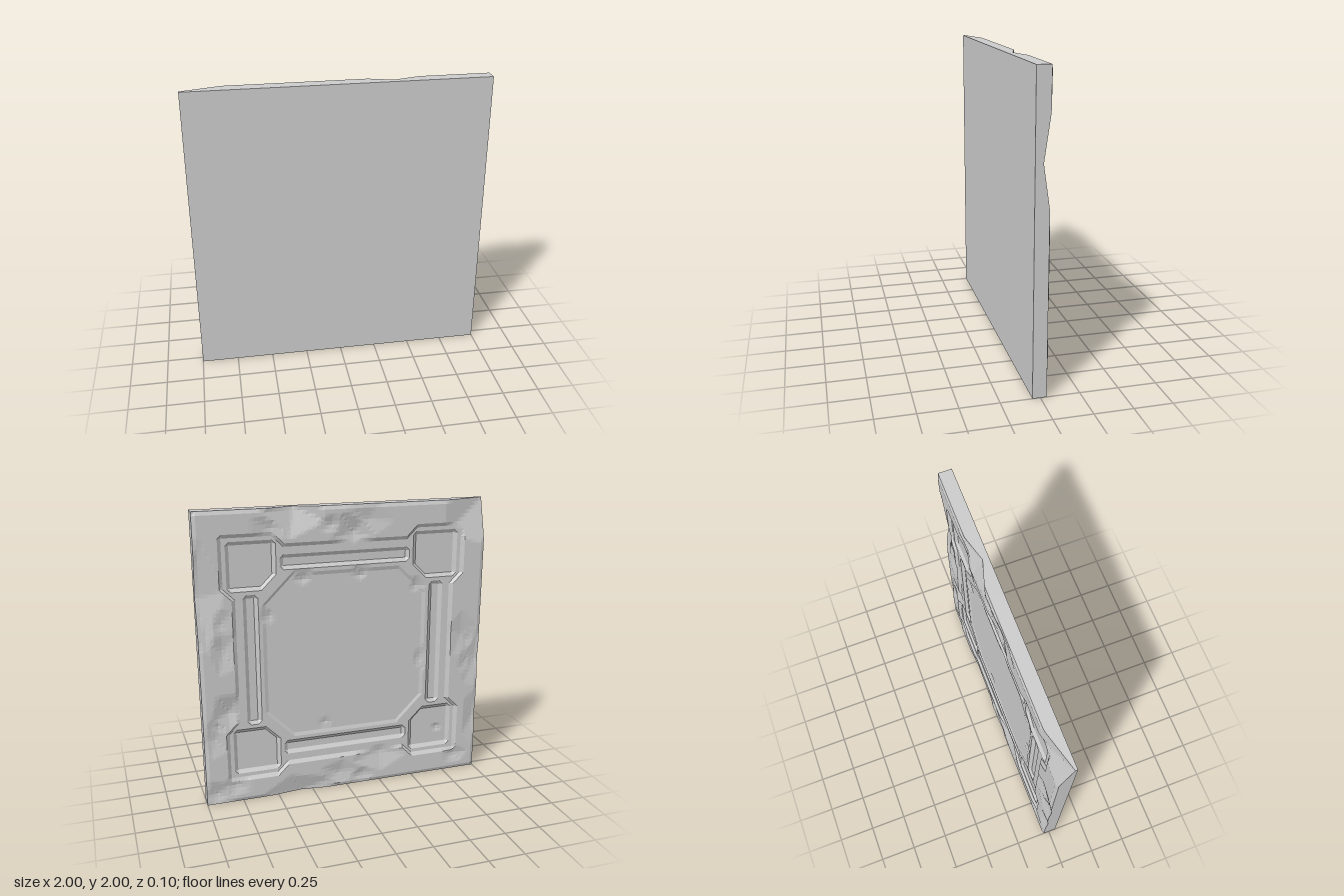
import * as THREE from 'three';

const STEP = 0.025, N = 80, BACK = -0.05, FRONT = 0.05;
const ramp = (d) => THREE.MathUtils.clamp(d / STEP, 0, 1);

function seeded(seed) {
  return () => (seed = (seed * 16807) % 2147483647) / 2147483647;
}

// Carved pattern, symmetric in all eight directions: depth below the back plane
function carving(x, y) {
  const u = Math.abs(x), v = Math.abs(y);
  const s = Math.max(u, v), t = Math.min(u, v);
  const edge = 0.01 * (1 - ramp(1 - s));                               // bevelled rim
  const border = THREE.MathUtils.clamp(t + 0.35, 0.775, 0.85) - s;     // stepped recess
  const corner = Math.min(0.8 - s, t - 0.475, s + t - 1.05);           // corner panels
  const slot = Math.min(0.7 - s, s - 0.6, 0.45 - t);                   // four long slots
  const centre = Math.min(0.575 - s, 0.95 - s - t);                    // central octagon
  return edge + 0.018 * ramp(border) + 0.018 * ramp(corner)
    + 0.018 * ramp(slot) + 0.008 * ramp(centre);
}

// Broken-off spots: x, y, radius x, radius y, depth at the middle
function makeChips() {
  const rnd = seeded(4177);
  const chips = [
    [0.35, 1, 0.19, 0.17, 0.06], [1, 0.45, 0.15, 0.33, 0.05],
    [-1, 1, 0.3, 0.3, 0.085], [0.33, -1, 0.25, 0.12, 0.035],
    [-0.97, -0.15, 0.1, 0.2, 0.025], [-0.98, -0.6, 0.08, 0.2, 0.025],
    [-0.05, 0.82, 0.14, 0.13, 0.035], [0.82, -0.34, 0.11, 0.13, 0.035],
    [0.84, 0.1, 0.08, 0.16, 0.025], [-0.25, -0.78, 0.18, 0.12, 0.03],
    [-0.7, -0.66, 0.13, 0.11, 0.05], [0.15, -0.5, 0.2, 0.14, 0.035],
    [-0.54, -0.1, 0.1, 0.22, 0.038], [0.3, 0.53, 0.18, 0.12, 0.038],
    [-0.1, 0.53, 0.16, 0.11, 0.038], [0.53, 0.3, 0.11, 0.17, 0.038],
    [-0.5, 0.42, 0.14, 0.14, 0.036], [0.93, -0.93, 0.12, 0.1, 0.025],
  ];
  // Small random wear around the outer border
  for (let i = 0; i < 14; i++) {
    const along = rnd() * 1.8 - 0.9, across = (i % 2 ? 1 : -1) * (0.84 + 0.1 * rnd());
    const r = 0.05 + 0.06 * rnd();
    chips.push(i % 4 < 2 ? [along, across, r * 1.5, r, 0.018] : [across, along, r, r * 1.5, 0.018]);
  }
  return chips.map((c) => [...c, rnd() * Math.PI]);
}

// Each chip is an angular five-sided pyramid
function chipDepth([cx, cy, rx, ry, depth, turn], x, y) {
  const dx = (x - cx) / rx, dy = (y - cy) / ry;
  let d = 0;
  for (let i = 0; i < 5; i++) {
    const a = turn + (i * Math.PI * 2) / 5;
    d = Math.max(d, dx * Math.cos(a) + dy * Math.sin(a));
  }
  return depth * (1 - d);
}

function slabGeometry() {
  const chips = makeChips(), pos = [];
  const point = (i, j) => {
    const x = -1 + i * STEP, y = -1 + j * STEP;
    let depth = carving(x, y);
    for (const c of chips) depth = Math.max(depth, chipDepth(c, x, y));
    return [x, y + 1, BACK + depth];
  };
  const grid = Array.from({ length: N + 1 }, (_, i) =>
    Array.from({ length: N + 1 }, (_, j) => point(i, j)));
  const tri = (...corners) => corners.forEach((p) => pos.push(...p));
  const toFront = (p) => [p[0], p[1], FRONT];

  // Carved back; each cell is split along its flatter diagonal
  for (let i = 0; i < N; i++) {
    for (let j = 0; j < N; j++) {
      const a = grid[i][j], b = grid[i + 1][j], c = grid[i + 1][j + 1], d = grid[i][j + 1];
      if (Math.abs(a[2] - c[2]) <= Math.abs(b[2] - d[2])) {
        tri(a, c, b); tri(a, d, c);
      } else {
        tri(a, d, b); tri(b, d, c);
      }
    }
  }

  // Four side walls, following the worn rim
  const wall = (p, q) => {
    tri(p, q, toFront(q));
    tri(p, toFront(q), toFront(p));
  };
  for (let k = 0; k < N; k++) {
    wall(grid[k][0], grid[k + 1][0]);
    wall(grid[N][k], grid[N][k + 1]);
    wall(grid[k + 1][N], grid[k][N]);
    wall(grid[0][k + 1], grid[0][k]);
  }

  // Plain front
  const [a, b, c, d] = [grid[0][0], grid[N][0], grid[N][N], grid[0][N]].map(toFront);
  tri(a, b, c);
  tri(a, c, d);

  const geometry = new THREE.BufferGeometry();
  geometry.setAttribute('position', new THREE.Float32BufferAttribute(pos, 3));
  geometry.computeVertexNormals();
  return geometry;
}

export function createModel() {
  const model = new THREE.Group();
  model.name = 'carvedStoneTile';
  const stone = new THREE.MeshStandardMaterial({ color: 0xcccccc, flatShading: true });
  const slab = new THREE.Mesh(slabGeometry(), stone);
  slab.name = 'carvedSlab';
  model.add(slab);
  return model;
}
